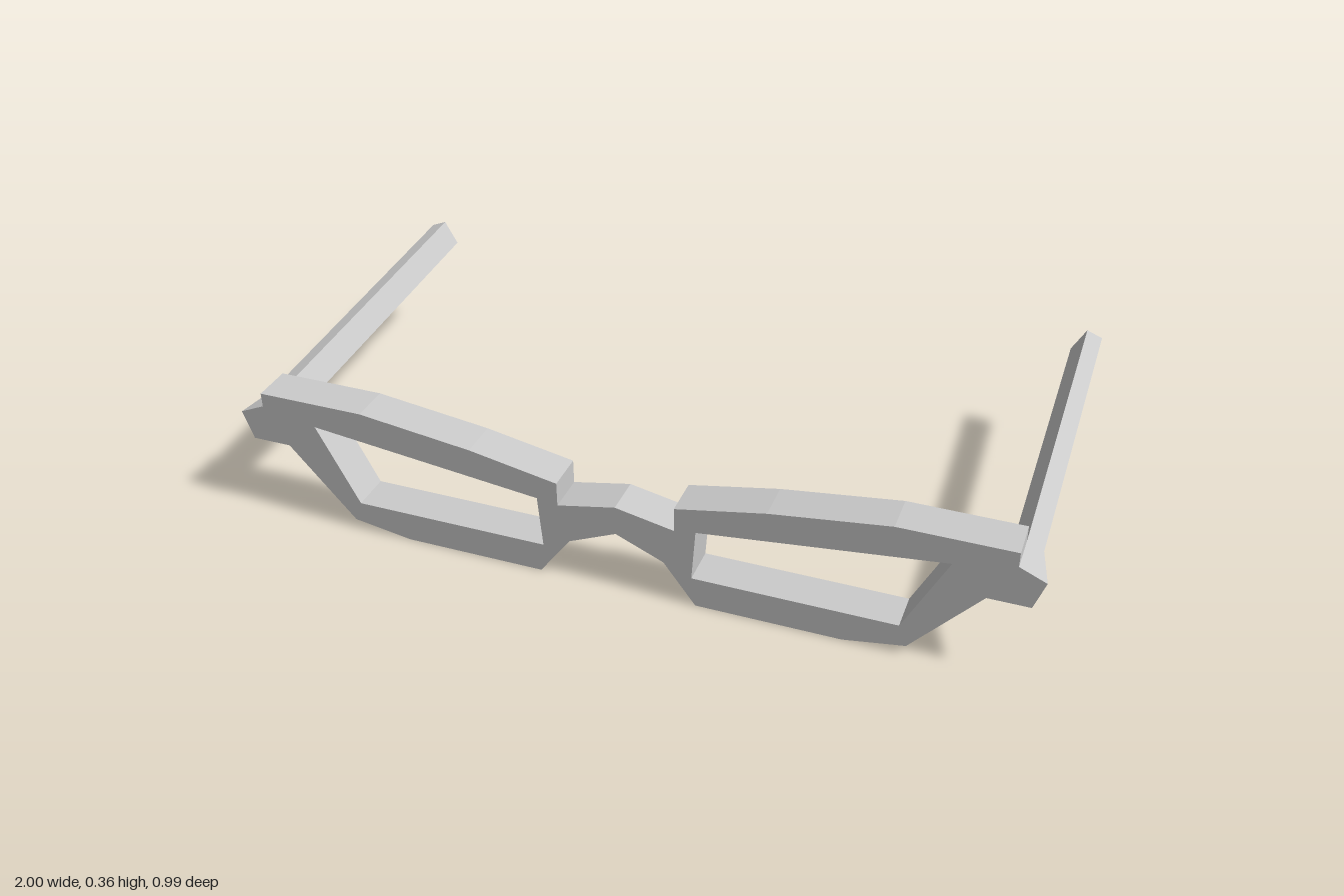
import * as THREE from 'three';

const FRONT = 0.497, BACK = 0.396, TIP = -0.497, RISE = 0.047;

// Right half of the rim outline from bridge underside to bridge top.
const outline = [
  [0, 0.162], [0.12, 0.109], [0.2, 0], [0.56, 0], [0.71, 0.025],
  [0.875, 0.213], [0.975, 0.213], [1, 0.287], [0.935, 0.316],
  [0.935, 0.353], [0.66, 0.353], [0.37, 0.315], [0.147, 0.272], [0.147, 0.209], [0, 0.239],
];
const lens = [[0.2, 0.217], [0.793, 0.286], [0.69, 0.08], [0.19, 0.08]];

// Temple cross-section where it meets the end piece.
const section = [[0.935, 0.31], [0.9, 0.248], [0.96, 0.248], [0.975, 0.294]];

// Each end-piece corner narrows to a temple corner at the back of the frame.
const taper = [[5, 1], [6, 2], [7, 3], [8, 0]];

const vec = (p, s = 1) => new THREE.Vector2(p[0] * s, p[1]);

// Straight plate between two depths, front to back.
function plate(shape, back, front) {
  const geo = new THREE.ExtrudeGeometry(shape, { depth: front - back, bevelEnabled: false });
  return geo.translate(0, 0, back);
}

function frameGeometry() {
  const left = outline.slice(1, -1).reverse().map(p => vec(p, -1));
  const shape = new THREE.Shape([...outline.map(p => vec(p)), ...left]);
  for (const s of [1, -1]) shape.holes.push(new THREE.Path(lens.map(p => vec(p, s))));
  const geo = plate(shape, BACK, FRONT);

  const pos = geo.attributes.position;
  for (let i = 0; i < pos.count; i++) {
    if (pos.getZ(i) > BACK + 0.01) continue;
    const x = pos.getX(i), y = pos.getY(i);
    for (const [from, to] of taper) {
      const [fx, fy] = outline[from];
      if (Math.hypot(Math.abs(x) - fx, y - fy) < 1e-4) {
        pos.setXY(i, Math.sign(x) * section[to][0], section[to][1]);
      }
    }
  }
  geo.computeVertexNormals();
  return geo;
}

// Four-sided bar running back and slightly up.
function templeGeometry(side) {
  const geo = plate(new THREE.Shape(section.map(p => vec(p, side))), TIP, BACK);
  const pos = geo.attributes.position;
  for (let i = 0; i < pos.count; i++) {
    pos.setY(i, pos.getY(i) + RISE * (BACK - pos.getZ(i)) / (BACK - TIP));
  }
  geo.computeVertexNormals();
  return geo;
}

export function createModel() {
  const group = new THREE.Group();
  group.name = 'eyeglasses';
  const material = new THREE.MeshStandardMaterial({ color: 0xcccccc });
  const add = (name, geo) => {
    const mesh = new THREE.Mesh(geo, material);
    mesh.name = name;
    group.add(mesh);
  };

  // Rims, bridge and tapered end pieces in one plate
  add('frame', frameGeometry());

  // Side arms
  add('leftTemple', templeGeometry(1));
  add('rightTemple', templeGeometry(-1));
  return group;
}
